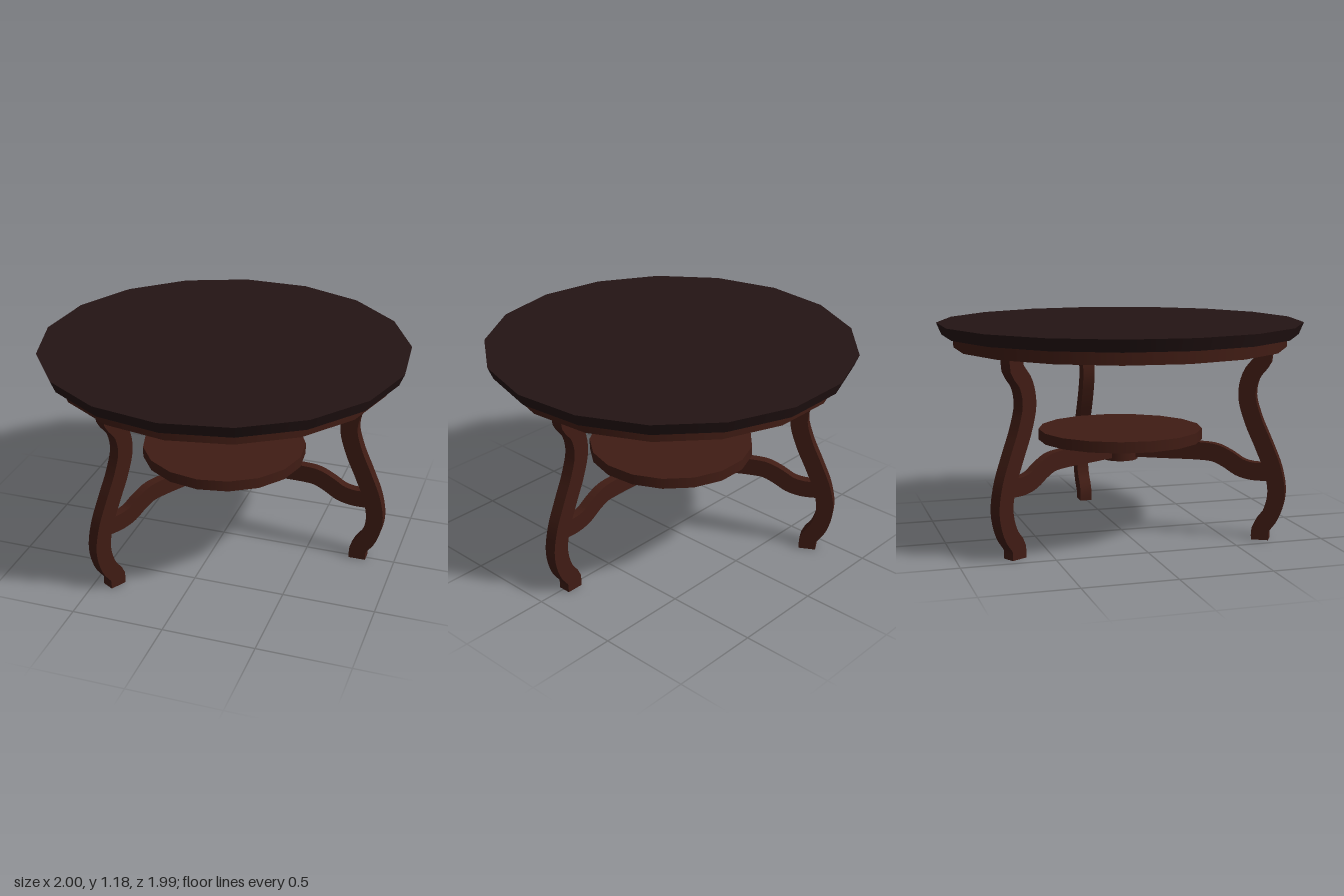
import * as THREE from 'three';
import { toCreasedNormals } from 'three/addons/utils/BufferGeometryUtils.js';

const brown = new THREE.MeshStandardMaterial({ color: 0x401c14 });
const dark = new THREE.MeshStandardMaterial({ color: 0x241414 });

// Upright disc with a faceted rim, spanning y0 to y1
function disc(name, rTop, rBottom, y0, y1, material) {
  const geo = new THREE.CylinderGeometry(rTop, rBottom, y1 - y0, 17);
  geo.translate(0, (y0 + y1) / 2, 0);
  const mesh = new THREE.Mesh(geo, material);
  mesh.name = name;
  return mesh;
}

// Flat bar of constant width that follows a centre line of [radius, height] points
function curvedBar(points, width, thickness, steps) {
  const curve = new THREE.CatmullRomCurve3(points.map(([x, y]) => new THREE.Vector3(x, y, 0)));
  const right = [], left = [];
  for (let i = 0; i <= steps; i++) {
    const p = curve.getPointAt(i / steps);
    const t = curve.getTangentAt(i / steps);
    // square off the two ends along the main axis
    if (i === 0 || i === steps) {
      if (Math.abs(t.y) > Math.abs(t.x)) t.set(0, Math.sign(t.y), 0);
      else t.set(Math.sign(t.x), 0, 0);
    }
    right.push(new THREE.Vector2(p.x + t.y * width / 2, p.y - t.x * width / 2));
    left.unshift(new THREE.Vector2(p.x - t.y * width / 2, p.y + t.x * width / 2));
  }
  const geo = new THREE.ExtrudeGeometry(new THREE.Shape([...right, ...left]),
    { depth: thickness, bevelEnabled: false });
  geo.translate(0, 0, -thickness / 2);
  return toCreasedNormals(geo, 0.6);
}

export function createModel() {
  const table = new THREE.Group();
  table.name = 'roundTable';

  // Top, apron, lower shelf and the hub under the shelf
  table.add(
    disc('tabletop', 1.004, 0.977, 1.12, 1.185, dark),
    disc('apron', 0.914, 0.914, 1.05, 1.12, brown),
    disc('shelf', 0.456, 0.456, 0.53, 0.59, brown),
    disc('hub', 0.097, 0.097, 0.415, 0.53, brown)
  );

  // S-shaped leg and the stretcher that joins it to the hub
  const legGeo = curvedBar([
    [0.795, 0], [0.797, 0.06], [0.85, 0.14], [0.88, 0.26], [0.86, 0.39], [0.805, 0.53],
    [0.745, 0.67], [0.712, 0.8], [0.733, 0.91], [0.793, 0.995], [0.795, 1.05]
  ], 0.094, 0.07, 40);
  const stretcherGeo = curvedBar([
    [0, 0.48], [0.25, 0.48], [0.46, 0.48], [0.54, 0.472], [0.61, 0.44],
    [0.68, 0.397], [0.75, 0.38], [0.84, 0.38]
  ], 0.098, 0.05, 36);

  for (let i = 0; i < 3; i++) {
    const unit = new THREE.Group();
    unit.name = 'legUnit' + (i + 1);
    const leg = new THREE.Mesh(legGeo, brown);
    leg.name = 'leg';
    const stretcher = new THREE.Mesh(stretcherGeo, brown);
    stretcher.name = 'stretcher';
    unit.add(leg, stretcher);
    unit.rotation.y = i * Math.PI * 2 / 3;
    table.add(unit);
  }

  // The odd-sided rim is centred by its extent
  table.position.z = -0.007;
  const model = new THREE.Group();
  model.add(table);
  return model;
}
